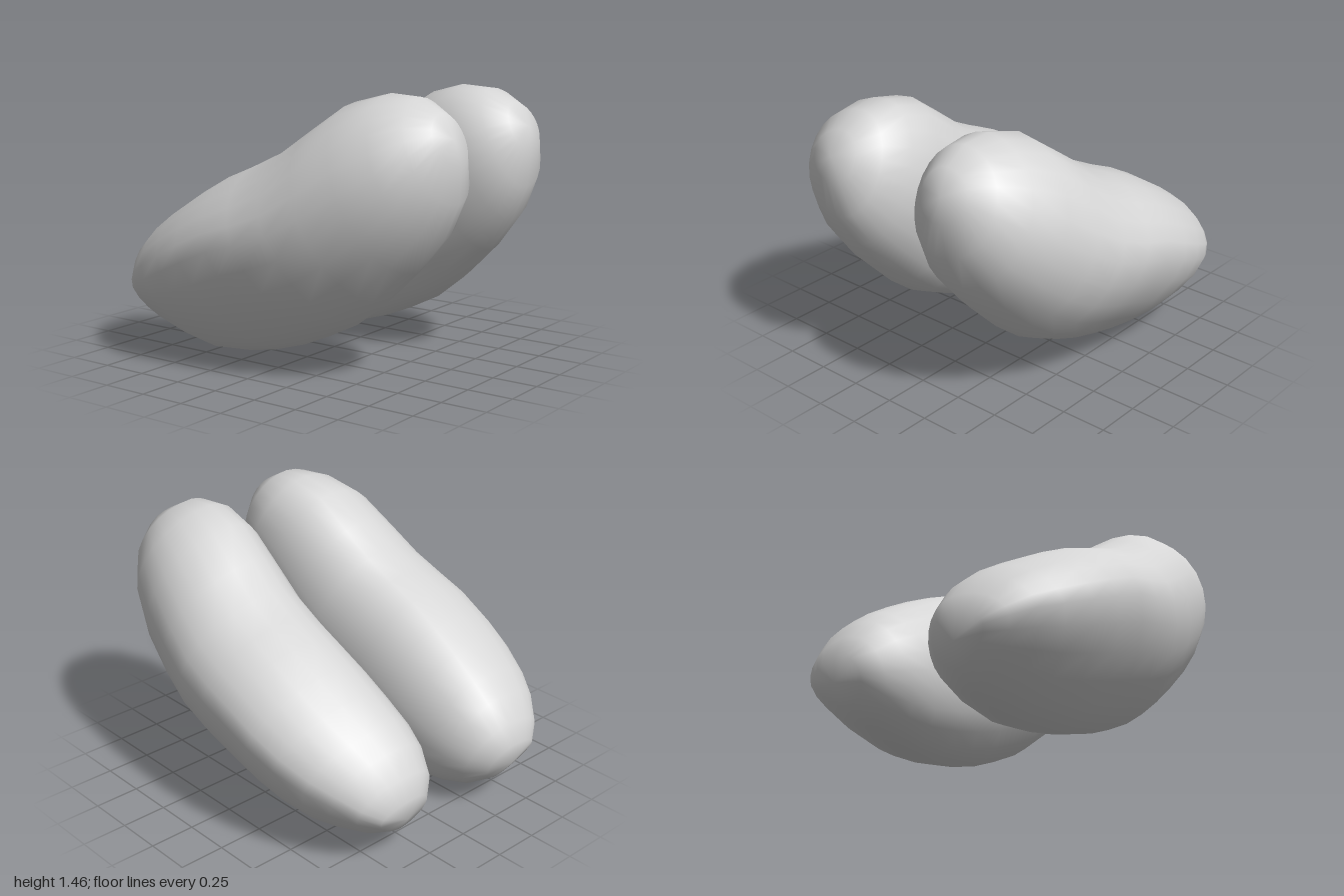
import * as THREE from 'three';
import { mergeVertices } from 'three/addons/utils/BufferGeometryUtils.js';

// Cross-sections along the tilted long axis:
// [position on axis, top, bottom, inner x, outer x]
const SECTIONS = [
  [-1.09, -0.05, -0.05, 0.39, 0.39],
  [-1.06, 0.079, -0.18, 0.24, 0.56],
  [-0.98, 0.164, -0.30, 0.15, 0.655],
  [-0.86, 0.24, -0.405, 0.095, 0.74],
  [-0.73, 0.281, -0.49, 0.065, 0.805],
  [-0.55, 0.312, -0.55, 0.055, 0.86],
  [-0.37, 0.335, -0.589, 0.053, 0.887],
  [-0.17, 0.35, -0.613, 0.06, 0.895],
  [0.0, 0.347, -0.615, 0.058, 0.888],
  [0.2, 0.353, -0.606, 0.053, 0.87],
  [0.4, 0.395, -0.555, 0.05, 0.838],
  [0.63, 0.44, -0.465, 0.05, 0.793],
  [0.83, 0.407, -0.36, 0.062, 0.722],
  [0.98, 0.329, -0.225, 0.13, 0.625],
  [1.07, 0.212, -0.06, 0.23, 0.51],
  [1.095, 0.07, 0.07, 0.37, 0.37],
];
const SIDES = 24;
const AXIS = { y: 0.408, z: 0.913 }; // rises towards the front

// Section outlines: x from 0 (inner) to 1 (outer), y from -1 (bottom) to 1 (top)
const outline = (points) => {
  const curve = new THREE.CatmullRomCurve3(points.map(([x, y]) => new THREE.Vector3(x, y, 0)), true);
  return Array.from({ length: SIDES }, (_, j) => curve.getPoint(j / SIDES));
};
// Front: rounded, with the crest nearer the inner side
const ROUND = outline(Array.from({ length: 12 }, (_, j) => {
  const c = Math.cos(j * Math.PI / 6);
  return [0.42 + c * (c > 0 ? 0.58 : 0.42), Math.sin(j * Math.PI / 6)];
}));
// Back: sloping in below the outer side
const SLOPED = outline([
  [1, 0.25], [0.92, 0.62], [0.71, 0.9], [0.42, 1], [0.21, 0.87], [0.056, 0.5],
  [0, 0], [0.056, -0.5], [0.21, -0.87], [0.4, -1], [0.63, -0.79], [0.87, -0.31],
]);

// Bean-shaped lobe; side = 1 for the left, -1 for the right
function lobeGeometry(side) {
  const positions = [];
  const index = [];
  for (const [s, top, bottom, inner, outer] of SECTIONS) {
    const slope = THREE.MathUtils.clamp((0.7 - s) / 0.9, 0, 1);
    for (let j = 0; j < SIDES; j++) {
      const p = ROUND[j].clone().lerp(SLOPED[j], slope);
      const x = inner + p.x * (outer - inner);
      const h = (top + bottom) / 2 + p.y * (top - bottom) / 2;
      positions.push(side * x, 0.75 + s * AXIS.y + h * AXIS.z, s * AXIS.z - h * AXIS.y);
    }
  }
  const last = SECTIONS.length - 2;
  const addFace = (a, b, c) => index.push(...(side > 0 ? [a, b, c] : [a, c, b]));
  for (let i = 0; i <= last; i++) {
    for (let j = 0; j < SIDES; j++) {
      const a = i * SIDES + j, b = i * SIDES + (j + 1) % SIDES;
      const c = a + SIDES, d = b + SIDES;
      // The end sections are single points, so they need one triangle per side
      if (i > 0) addFace(a, b, d);
      if (i < last) addFace(a, d, c);
    }
  }
  const geometry = new THREE.BufferGeometry();
  geometry.setAttribute('position', new THREE.Float32BufferAttribute(positions, 3));
  geometry.setIndex(index);
  const merged = mergeVertices(geometry, 1e-4);
  merged.computeVertexNormals();
  return merged;
}

export function createModel() {
  const group = new THREE.Group();
  const grey = new THREE.MeshStandardMaterial({ color: 0xd6d6d6 });
  grey.name = 'light grey';
  for (const side of [1, -1]) {
    const lobe = new THREE.Mesh(lobeGeometry(side), grey);
    lobe.name = side > 0 ? 'leftLobe' : 'rightLobe';
    group.add(lobe);
  }
  return group;
}
